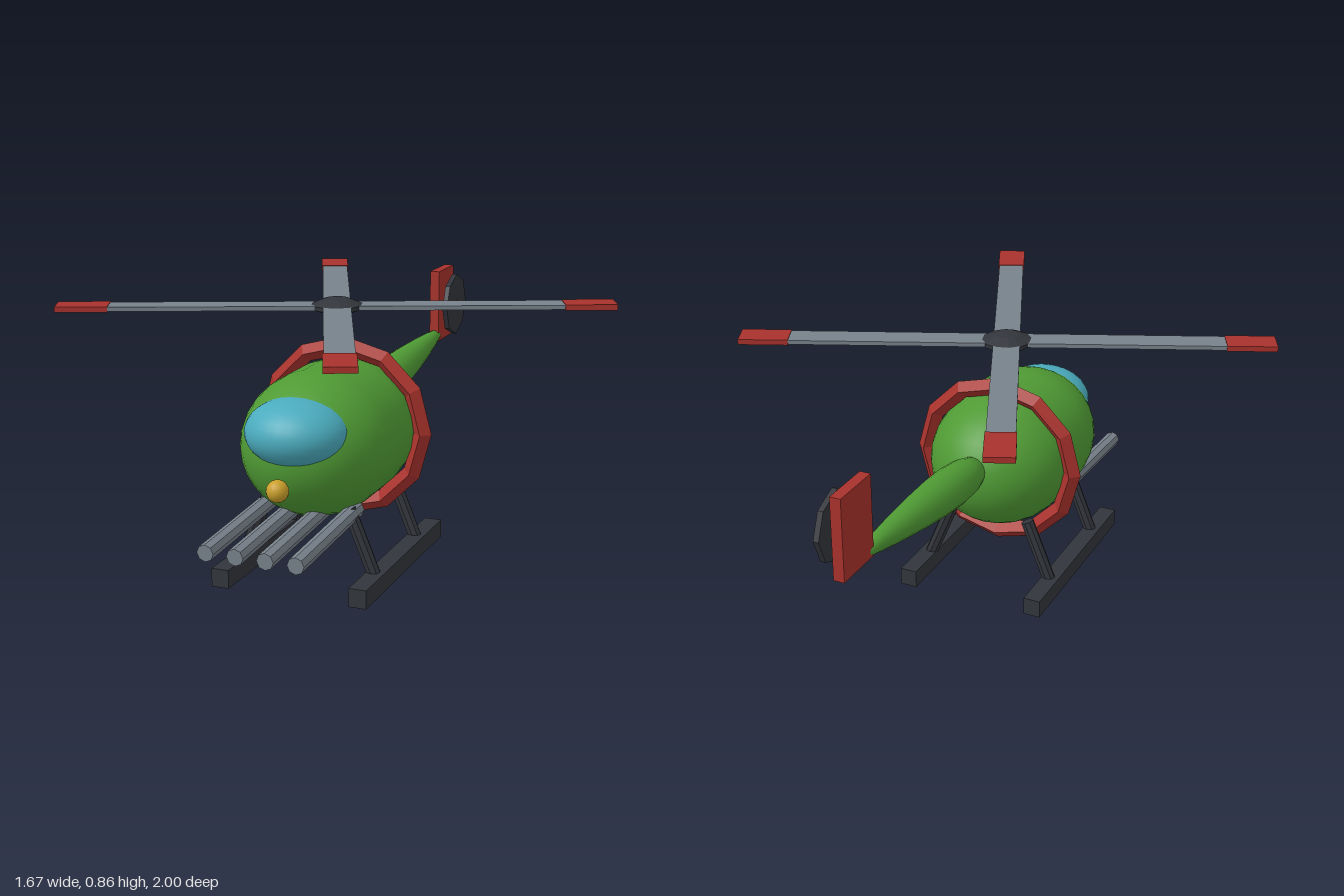
import * as THREE from 'three';

const mat = (color, flatShading = false) => new THREE.MeshStandardMaterial({ color, flatShading });
const GREEN = mat(0x4f9a34), TEAL = mat(0x4aabbd), YELLOW = mat(0xc99f2a);
const RED = mat(0xa8322c, true), DARK = mat(0x32353b, true), GREY = mat(0x78828c, true);

export function createModel() {
  const model = new THREE.Group();

  const add = (name, geometry, material, x = 0, y = 0, z = 0, parent = model) => {
    const mesh = new THREE.Mesh(geometry, material);
    mesh.name = name;
    mesh.position.set(x, y, z);
    parent.add(mesh);
    return mesh;
  };

  // Bar between two points, for struts and rods
  const bar = (name, a, b, radius, sides, material) => {
    const dir = b.clone().sub(a);
    const mesh = add(name, new THREE.CylinderGeometry(radius, radius, dir.length(), sides), material);
    mesh.position.copy(a).add(b).multiplyScalar(0.5);
    mesh.quaternion.setFromUnitVectors(new THREE.Vector3(0, 1, 0), dir.normalize());
    return mesh;
  };

  // Rounded cabin, blunt at both ends
  const cabin = new THREE.CapsuleGeometry(1, 0.57, 10, 28);
  cabin.rotateX(Math.PI / 2);
  cabin.scale(0.243, 0.231, 0.28);
  add('cabin', cabin, GREEN, 0, 0.43, 0.23);

  // Windscreen bubble and nose lamp
  const bubble = new THREE.SphereGeometry(1, 28, 18);
  bubble.scale(0.165, 0.108, 0.155);
  add('windscreen', bubble, TEAL, 0, 0.505, 0.48);
  add('noseLamp', new THREE.SphereGeometry(0.035, 16, 12), YELLOW, 0, 0.362, 0.632);

  // Faceted hoop around the cabin
  add('hoop', new THREE.TorusGeometry(0.27, 0.03, 4, 12), RED, 0, 0.427, 0.1);

  // Tapered tail boom, swept slightly upward
  const boomProfile = [
    [0, -0.02], [0.045, 0], [0.062, 0.08], [0.067, 0.17], [0.064, 0.28],
    [0.055, 0.41], [0.042, 0.55], [0.028, 0.67], [0.02, 0.73], [0, 0.74],
  ].map(([r, h]) => new THREE.Vector2(r, h));
  const boom = add('tailBoom', new THREE.LatheGeometry(boomProfile, 18), GREEN, 0, 0.476, -0.09);
  boom.rotation.x = -Math.PI / 2 + 0.1;

  // Tail fin and its side rotor
  add('tailFin', new THREE.BoxGeometry(0.035, 0.265, 0.17), RED, 0, 0.662, -0.885);
  const disc = new THREE.CylinderGeometry(0.114, 0.114, 0.018, 8);
  disc.rotateZ(Math.PI / 2);
  add('tailRotor', disc, DARK, 0.05, 0.66, -0.886);
  const pin = new THREE.CylinderGeometry(0.016, 0.016, 0.05, 8);
  pin.rotateZ(Math.PI / 2);
  add('tailRotorPin', pin, DARK, 0.038, 0.66, -0.886);

  // Main rotor
  const rotor = new THREE.Group();
  rotor.name = 'mainRotor';
  rotor.position.set(0, 0, 0.163);
  model.add(rotor);
  add('mast', new THREE.CylinderGeometry(0.04, 0.04, 0.2, 12), DARK, 0, 0.73, 0, rotor);
  const hubProfile = [[0, 0.812], [0.04, 0.814], [0.084, 0.83], [0.084, 0.843], [0.04, 0.861], [0, 0.864]]
    .map(([r, y]) => new THREE.Vector2(r, y));
  add('hub', new THREE.LatheGeometry(hubProfile, 12), DARK, 0, 0, 0, rotor);
  for (let i = 0; i < 4; i++) {
    const arm = new THREE.Group();
    arm.name = 'rotorArm';
    arm.rotation.y = 0.4 + i * Math.PI / 2;
    rotor.add(arm);
    add('blade', new THREE.BoxGeometry(0.68, 0.014, 0.088), GREY, 0.38, 0.837, 0, arm);
    add('bladeTip', new THREE.BoxGeometry(0.165, 0.018, 0.094), RED, 0.802, 0.837, 0, arm);
  }

  // Landing skids with splayed struts
  for (const s of [1, -1]) {
    add('skid', new THREE.BoxGeometry(0.058, 0.06, 0.705), DARK, s * 0.23, 0.03, 0.217);
    for (const z of [0.41, 0.03]) {
      bar('skidStrut', new THREE.Vector3(s * 0.228, 0.04, z), new THREE.Vector3(s * 0.14, 0.255, z), 0.022, 8, DARK);
    }
  }

  // Four forward rods under the nose
  for (let i = 0; i < 4; i++) {
    const x = -0.144 + i * 0.096;
    bar('frontRod', new THREE.Vector3(x, 0.24, 0.36), new THREE.Vector3(x, 0.214, 0.83), 0.027, 8, GREY);
  }

  return model;
}
